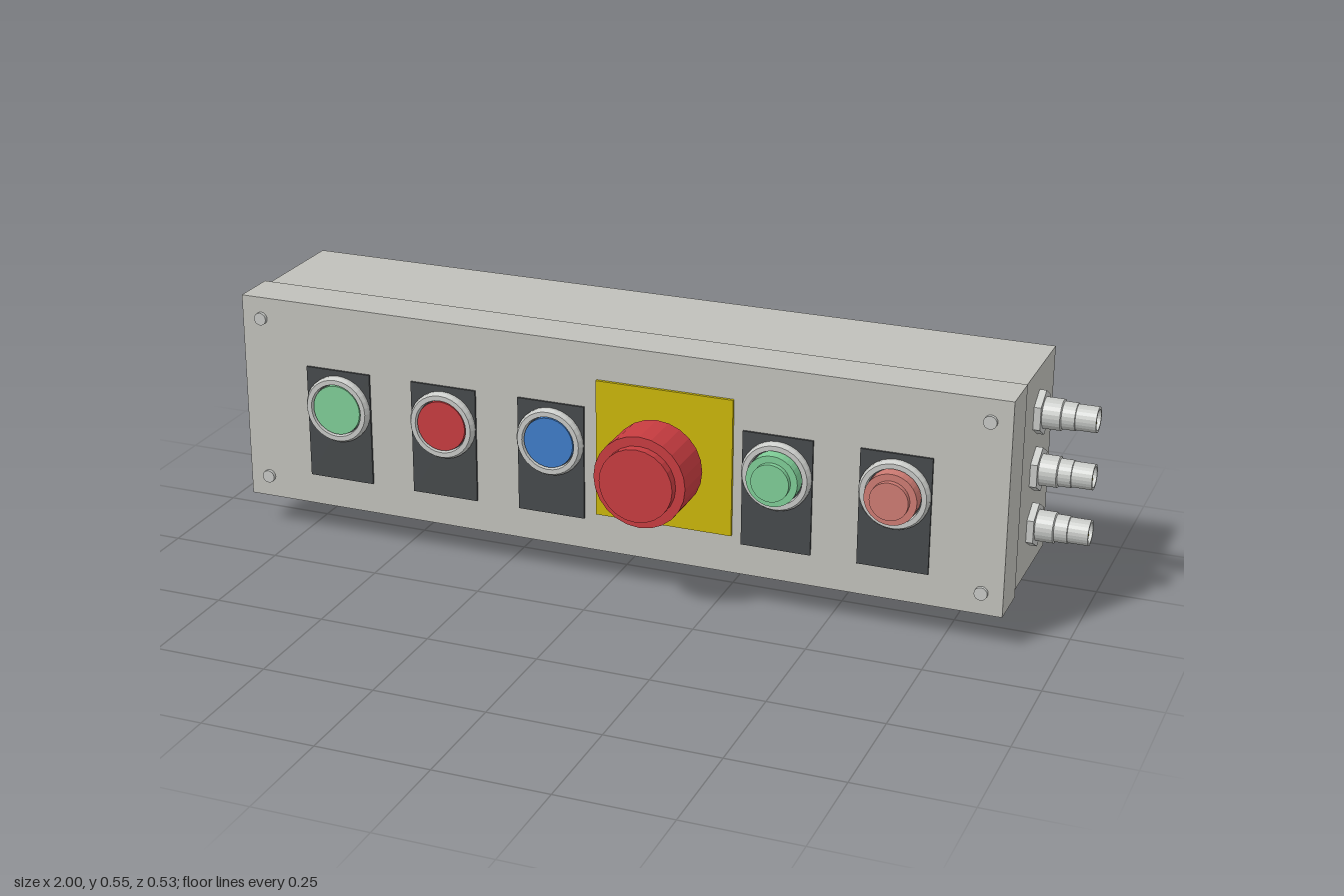
import * as THREE from 'three';

const paint = (name, color) => {
  const m = new THREE.MeshStandardMaterial({ color });
  m.name = name;
  return m;
};
const M = {
  housing: paint('housing grey', 0xc0c0ba),
  metal: paint('metal grey', 0xc6c8c5),
  dark: paint('dark grey', 0x46494b),
  yellow: paint('yellow', 0xcab608),
  red: paint('red', 0xc63c40),
  green: paint('green', 0x7ecc96),
  blue: paint('blue', 0x3e7cc8),
  pink: paint('pale red', 0xcc7a72),
};
const CX = -0.0025, CY = 0.3145;

function add(parent, name, geo, mat, x = 0, y = 0, z = 0) {
  const mesh = new THREE.Mesh(geo, mat);
  mesh.name = name;
  mesh.position.set(x, y, z);
  parent.add(mesh);
  return mesh;
}

// Box given by its centre in x and y and its z range
function slab(parent, name, mat, x, y, w, h, z0, z1) {
  return add(parent, name, new THREE.BoxGeometry(w, h, z1 - z0), mat, x, y, (z0 + z1) / 2);
}

// Faceted turned part; profile of [radius, height], turned about y
function turned(parent, name, mat, profile, sides = 24) {
  const pts = profile.map(([r, h]) => new THREE.Vector2(r, h));
  const geo = new THREE.LatheGeometry(pts, sides).toNonIndexed();
  geo.computeVertexNormals();
  return add(parent, name, geo, mat);
}
const disc = (r, h0, h1) => [[0, h0], [r, h0], [r, h1], [0, h1]];

// Group whose y axis points out of the front panel
function frontGroup(parent, name, x, y) {
  const g = new THREE.Group();
  g.name = name;
  g.position.set(x, y, 0);
  g.rotation.x = Math.PI / 2;
  parent.add(g);
  return g;
}

// Push button on its dark legend plate
function pushButton(parent, x, mat, raised) {
  slab(parent, 'legendPlate', M.dark, x, 0.277, 0.155, 0.26, 0.105, 0.11);
  const g = frontGroup(parent, raised ? 'raisedButton' : 'flushButton', x, 0.318);
  turned(g, 'bezel', M.metal, [[0.077, 0.109], [0.077, 0.118], [0.072, 0.126], [0.061, 0.126], [0.059, 0.112]], 32);
  turned(g, 'buttonGap', M.dark, disc(0.061, 0.109, 0.113), 32);
  const cap = raised
    ? [[0, 0.11], [0.057, 0.11], [0.057, 0.145], [0.042, 0.145], [0.042, 0.157], [0, 0.157]]
    : disc(0.057, 0.11, 0.123);
  turned(g, 'buttonCap', mat, cap, 32);
}

// Round plug socket with hex nut, pointing out of an end wall
function connector(parent, side, y) {
  const g = new THREE.Group();
  g.name = 'connector';
  g.position.set(side > 0 ? 0.872 : -0.877, y, -0.137);
  g.rotation.z = -side * Math.PI / 2;
  const L = side > 0 ? 0.128 : 0.123;
  const nut = turned(g, 'hexNut', M.metal, disc(0.05, 0, 0.015), 6);
  nut.rotation.y = Math.PI / 2;
  turned(g, 'socketShell', M.metal, [
    [0.034, 0.014], [0.034, 0.053], [0.03, 0.055], [0.03, 0.083],
    [0.028, 0.084], [0.028, L], [0.0225, L], [0.0225, L - 0.025],
  ]);
  turned(g, 'socketInsert', M.dark, disc(0.0225, L - 0.035, L - 0.022));
  for (const [a, b] of [[0, 0], [1, 1], [1, -1], [-1, 1], [-1, -1]]) {
    add(g, 'pin', new THREE.CylinderGeometry(0.0032, 0.0032, 0.018, 8), M.yellow, a * 0.0105, L - 0.015, b * 0.0105);
  }
  parent.add(g);
}

export function createModel() {
  const model = new THREE.Group();
  model.name = 'controlBox';

  // Enclosure: lid, gasket, body
  slab(model, 'lid', M.housing, CX, CY, 1.759, 0.478, 0, 0.105);
  slab(model, 'gasket', M.dark, CX, CY, 1.74, 0.456, -0.009, 0.001);
  slab(model, 'body', M.housing, CX, CY, 1.749, 0.463, -0.25, -0.008);

  // Back wall with mounting holes
  const wall = new THREE.Shape();
  const w = 1.749 / 2, h = 0.463 / 2;
  wall.moveTo(-w, -h).lineTo(w, -h).lineTo(w, h).lineTo(-w, h).closePath();
  for (const sx of [-1, 1]) {
    for (const sy of [-1, 1]) {
      const hole = new THREE.Path();
      hole.absarc(sx * 0.825, sy * 0.182, 0.014, 0, Math.PI * 2, true);
      wall.holes.push(hole);
      // Lid screw at the matching front corner
      const screw = frontGroup(model, 'lidScrew', CX + sx * 0.833, CY + sy * 0.19);
      turned(screw, 'screwHead', M.metal, disc(0.0145, 0.104, 0.113), 16);
    }
  }
  const wallGeo = new THREE.ExtrudeGeometry(wall, { depth: 0.016, bevelEnabled: false, curveSegments: 16 });
  add(model, 'backWall', wallGeo, M.housing, CX, CY, -0.266);

  // Push buttons
  pushButton(model, -0.647, M.green, false);
  pushButton(model, -0.39, M.red, false);
  pushButton(model, -0.134, M.blue, false);
  pushButton(model, 0.382, M.green, true);
  pushButton(model, 0.639, M.pink, true);

  // Emergency stop
  slab(model, 'stopPlate', M.yellow, 0.128, 0.318, 0.31, 0.31, 0.105, 0.112);
  const stop = frontGroup(model, 'emergencyStop', 0.126, 0.315);
  turned(stop, 'stopCollar', M.dark, disc(0.082, 0.111, 0.146));
  turned(stop, 'stopKnob', M.red, [
    [0, 0.145], [0.1027, 0.145], [0.1027, 0.247], [0.082, 0.247], [0.082, 0.268], [0, 0.268],
  ]);

  // End wall connectors: three on the left, two on the right
  for (const y of [0.444, 0.315, 0.187]) connector(model, 1, y);
  for (const y of [0.396, 0.24]) connector(model, -1, y);

  // Cable gland underneath
  const gland = new THREE.Group();
  gland.name = 'cableGland';
  gland.position.set(-0.671, 0, -0.137);
  turned(gland, 'glandNut', M.metal, disc(0.072, 0.032, 0.085));
  turned(gland, 'glandInsert', M.dark, disc(0.046, 0, 0.034));
  model.add(gland);

  return model;
}
